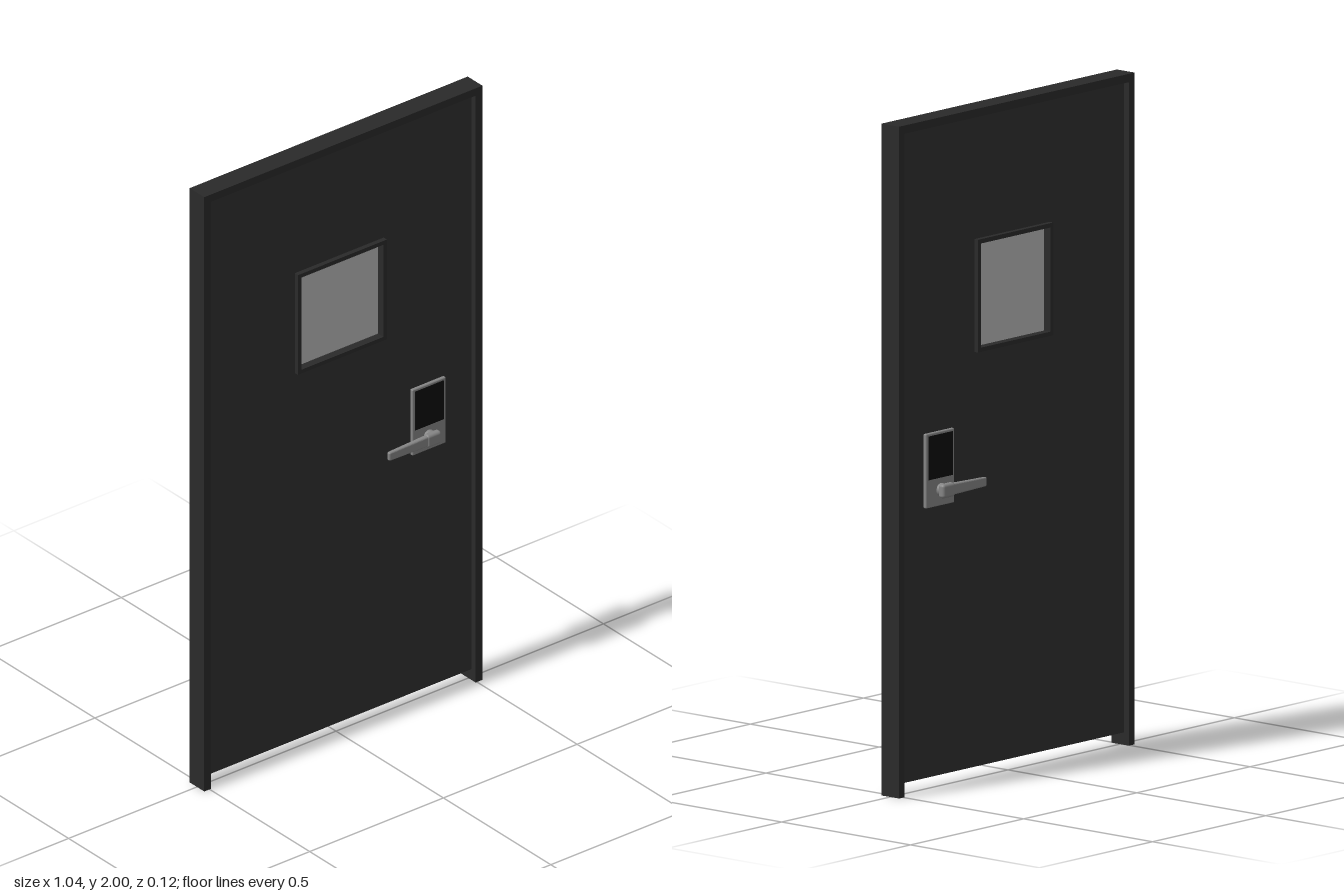
import * as THREE from 'three';
import { RoundedBoxGeometry } from 'three/addons/geometries/RoundedBoxGeometry.js';

const mat = (color) => new THREE.MeshStandardMaterial({ color });
const paint = mat(0x303030);
const trimPaint = mat(0x2a2a2a);
const metal = mat(0x858585);
const black = mat(0x0c0c0c);
const glassMat = mat(0xb8b8b8);

function add(parent, name, geometry, material, x = 0, y = 0, z = 0) {
  const mesh = new THREE.Mesh(geometry, material);
  mesh.name = name;
  mesh.position.set(x, y, z);
  parent.add(mesh);
  return mesh;
}

// Rectangle outline, counter-clockwise
function rect(target, x0, y0, x1, y1) {
  target.moveTo(x0, y0);
  target.lineTo(x1, y0);
  target.lineTo(x1, y1);
  target.lineTo(x0, y1);
  target.closePath();
  return target;
}

// Rectangular plate with a rectangular opening, centred on z = 0
function plateWithHole(outer, inner, depth) {
  const shape = rect(new THREE.Shape(), ...outer);
  shape.holes.push(rect(new THREE.Path(), ...inner));
  return new THREE.ExtrudeGeometry(shape, { depth, bevelEnabled: false })
    .translate(0, 0, -depth / 2);
}

// Lever arm running along x, narrowing towards its -x tip
function leverGeometry() {
  const length = 0.17;
  const geo = new RoundedBoxGeometry(length, 0.036, 0.018, 3, 0.006);
  const p = geo.attributes.position;
  for (let i = 0; i < p.count; i++) {
    const t = THREE.MathUtils.clamp(p.getX(i) / length + 0.5, 0, 1);
    p.setY(i, p.getY(i) * (0.76 + 0.24 * t));
    // outer face stays straight while the inner face tapers
    p.setZ(i, 0.009 + (p.getZ(i) - 0.009) * (0.7 + 0.3 * t));
  }
  geo.computeVertexNormals();
  return geo;
}

// Lock plate, screen and lever for the front face
function createLock() {
  const lock = new THREE.Group();
  add(lock, 'lockPlate', new RoundedBoxGeometry(0.126, 0.222, 0.012, 2, 0.004), metal, 0.328, 0.952, 0.02);
  add(lock, 'lockScreen', new THREE.BoxGeometry(0.106, 0.13, 0.004), black, 0.328, 0.99, 0.026);
  const neck = new THREE.CylinderGeometry(0.018, 0.02, 0.03, 24).rotateX(Math.PI / 2);
  add(lock, 'leverNeck', neck, metal, 0.326, 0.889, 0.034);
  add(lock, 'leverHub', new RoundedBoxGeometry(0.054, 0.042, 0.023, 4, 0.009), metal, 0.323, 0.889, 0.0465);
  add(lock, 'leverArm', leverGeometry(), metal, 0.24, 0.89, 0.047);
  return lock;
}

export function createModel() {
  const door = new THREE.Group();
  door.name = 'door';

  // Door frame: two jambs and a head, open at the bottom
  const outline = new THREE.Shape();
  [[-0.52, 0], [-0.495, 0], [-0.495, 1.975], [0.495, 1.975],
    [0.495, 0], [0.52, 0], [0.52, 2], [-0.52, 2]]
    .forEach(([x, y], i) => (i ? outline.lineTo(x, y) : outline.moveTo(x, y)));
  const frame = new THREE.ExtrudeGeometry(outline, { depth: 0.068, bevelEnabled: false })
    .translate(0, 0, -0.034);
  add(door, 'doorFrame', frame, trimPaint);

  // Leaf with the window opening
  add(door, 'doorLeaf',
    plateWithHole([-0.495, 0.037, 0.495, 1.975], [-0.155, 1.283, 0.155, 1.597], 0.03), paint);

  // Window trim, stepped on both faces, and the pane
  add(door, 'windowTrim',
    plateWithHole([-0.166, 1.272, 0.166, 1.608], [-0.153, 1.285, 0.153, 1.595], 0.06), trimPaint);
  add(door, 'windowPane', new THREE.BoxGeometry(0.308, 0.312, 0.01), glassMat, 0, 1.44, 0);

  // Locks on both faces, turned over so both levers point the same way
  const front = createLock();
  front.name = 'frontLock';
  const back = createLock();
  back.name = 'backLock';
  back.scale.z = -1;
  door.add(front, back);

  return door;
}
